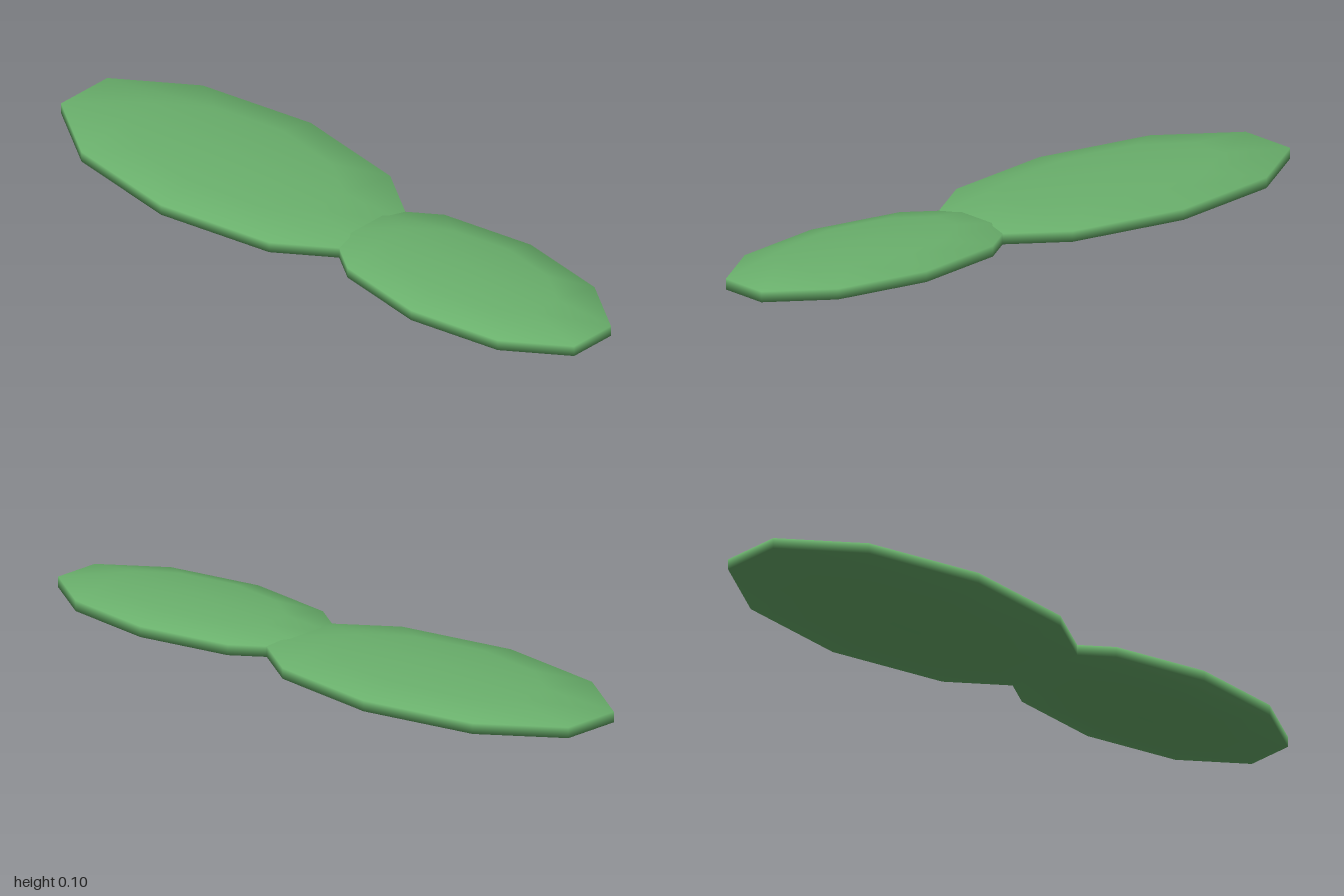
import * as THREE from 'three';

export function createModel() {
  const model = new THREE.Group();
  model.name = 'cactusPads';
  const padGreen = new THREE.MeshStandardMaterial({ color: 0x6ab06c });
  padGreen.name = 'pad green';

  // Coarse unit sphere, turned so that a column of corners faces +z and -z
  const padGeometry = new THREE.SphereGeometry(1, 10, 5).rotateY(Math.PI / 2);
  const halfThickness = 0.052;

  // Flattened pad, twice as long as it is wide
  function addPad(name, x, radius) {
    const pad = new THREE.Mesh(padGeometry, padGreen);
    pad.name = name;
    pad.position.set(x, halfThickness, 0);
    pad.scale.set(radius * 2, halfThickness, radius);
    model.add(pad);
  }

  addPad('largePad', -0.403, 0.33);
  addPad('smallPad', 0.522, 0.264);
  return model;
}
